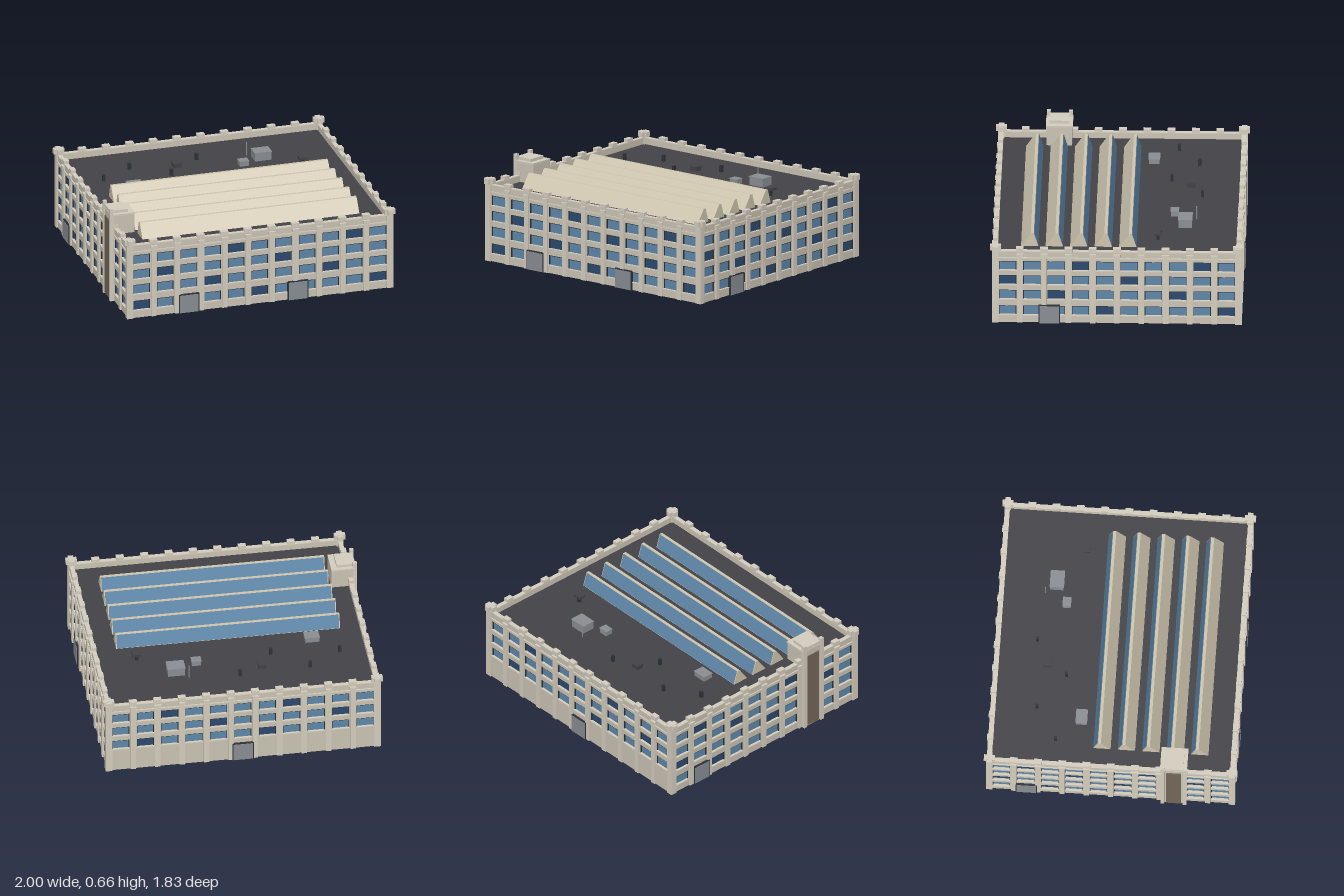
import * as THREE from 'three';

const HW = 0.903, HD = 0.808;      // half width and half depth to the wall centre lines
const ROOF = 0.48, PARAPET = 0.525;
const ROWS = [0.055, 0.17, 0.278, 0.384], WIN_H = 0.068, WIN_W = 0.116;

const mat = (color) => new THREE.MeshStandardMaterial({ color });
const M = {
  wall: mat(0xcdc5b6), pier: mat(0xd6cfc0), glass: mat(0x5f88ab), darkGlass: mat(0x2c4a70),
  frame: mat(0x2e3338), door: mat(0x8a8f95), roof: mat(0x434348), metal: mat(0x8b9094),
  brick: mat(0x75675a), cream: mat(0xd0c7b0), base: mat(0x2a2a2c),
};

function add(parent, name, geometry, material, x = 0, y = 0, z = 0) {
  const mesh = new THREE.Mesh(geometry, material);
  mesh.name = name;
  mesh.position.set(x, y, z);
  parent.add(mesh);
  return mesh;
}

// Box given by its size, centre in x and z, and bottom height
const box = (parent, name, material, w, h, d, x, y, z) =>
  add(parent, name, new THREE.BoxGeometry(w, h, d), material, x, y + h / 2, z);

function rectHole(x, y, w, h) {
  const p = new THREE.Path();
  p.moveTo(x - w / 2, y);
  p.lineTo(x - w / 2, y + h);
  p.lineTo(x + w / 2, y + h);
  p.lineTo(x + w / 2, y);
  p.closePath();
  return p;
}

// One facade: x runs along the wall, z points outward
function facade({ name, half, bays, shift, doors, firstRow = 0 }) {
  const g = new THREE.Group();
  g.name = name;
  const pitch = (2 * half) / bays;
  const shape = new THREE.Shape();
  shape.moveTo(-half, 0);
  shape.lineTo(half, 0);
  shape.lineTo(half, PARAPET);
  shape.lineTo(-half, PARAPET);
  shape.closePath();

  for (let c = 0; c < bays; c++) {
    const x = -half + pitch * (c + 0.5);
    for (let r = firstRow; r < ROWS.length; r++) {
      const y = ROWS[r];
      shape.holes.push(rectHole(x, y, WIN_W, WIN_H));
      // pane, dark surround and sill
      const dark = (c + 2 * r + shift) % 5 === 0;
      box(g, 'windowPane', dark ? M.darkGlass : M.glass, WIN_W, WIN_H, 0.004, x, y, -0.003);
      box(g, 'windowHead', M.frame, WIN_W, 0.005, 0.012, x, y + WIN_H - 0.005, 0.003);
      for (const s of [-1, 1])
        box(g, 'windowJamb', M.frame, 0.004, WIN_H, 0.01, x + s * (WIN_W / 2 - 0.002), y, 0.003);
      box(g, 'windowSill', M.pier, WIN_W + 0.008, 0.007, 0.014, x, y - 0.006, 0.01);
    }
  }
  const wall = new THREE.ExtrudeGeometry(shape, { depth: 0.024, bevelEnabled: false });
  add(g, 'wall', wall, M.wall, 0, 0, -0.012);

  // piers with capitals and the raised blocks of the parapet
  for (let i = 1; i < bays; i++) {
    const x = -half + pitch * i;
    box(g, 'pier', M.pier, 0.036, 0.505, 0.012, x, 0, 0.016);
    box(g, 'pierCapital', M.pier, 0.044, 0.018, 0.018, x, 0.49, 0.018);
    box(g, 'parapetBlock', M.pier, 0.052, 0.028, 0.036, x, 0.52, 0.002);
  }
  box(g, 'cornice', M.pier, 2 * half, 0.008, 0.01, 0, 0.472, 0.015);
  box(g, 'coping', M.pier, 2 * half, 0.006, 0.03, 0, 0.52, 0);

  for (const x of doors) {
    box(g, 'doorFrame', M.frame, 0.142, 0.132, 0.018, x, 0, 0.016);
    box(g, 'door', M.door, 0.13, 0.125, 0.022, x, 0, 0.017);
  }
  return g;
}

// Sawtooth roof light: glazed steep back, flat ridge, solid front slope
function sawtooth() {
  const g = new THREE.Group();
  g.name = 'roofLight';
  const L = 1.507, H = 0.095;
  const s = new THREE.Shape([[0.0575, 0], [0.0275, H], [0.0075, H], [-0.0575, 0]]
    .map(([x, y]) => new THREE.Vector2(x, y)).reverse());
  const geo = new THREE.ExtrudeGeometry(s, { depth: L, bevelEnabled: false });
  geo.translate(0, 0, -L / 2).rotateY(Math.PI / 2);
  add(g, 'roofLightBody', geo, M.cream);
  const pane = add(g, 'roofLightGlass', new THREE.BoxGeometry(L - 0.012, 0.094, 0.004), M.glass, 0, H / 2, -0.0425);
  pane.rotation.x = Math.atan2(0.03, H);
  return g;
}

export function createModel() {
  const model = new THREE.Group();
  model.name = 'factory';
  const building = new THREE.Group();
  building.name = 'building';
  building.rotation.y = 0.0765;
  model.add(building);

  // solid core whose top is the roof deck
  box(building, 'roofDeck', M.roof, 2 * HW - 0.022, ROOF - 0.004, 2 * HD - 0.022, 0, 0.004, 0);
  box(building, 'basePlate', M.base, 2 * HW, 0.004, 2 * HD, 0, 0, 0);

  // four facades
  const sides = [
    { name: 'frontFacade', half: HW, out: HD, bays: 11, shift: 0, doors: [-0.496, 0.262] },
    { name: 'rightFacade', half: HD, out: HW, bays: 10, shift: 1, doors: [-0.45] },
    { name: 'backFacade', half: HW, out: HD, bays: 11, shift: 2, doors: [0], firstRow: 1 },
    { name: 'leftFacade', half: HD, out: HW, bays: 10, shift: 3, doors: [-0.56] },
  ];
  sides.forEach((side, i) => {
    const f = facade(side);
    const a = (i * Math.PI) / 2;
    f.rotation.y = a;
    f.position.set(Math.sin(a) * side.out, 0, Math.cos(a) * side.out);
    building.add(f);
  });

  // corner piers with cross-shaped caps
  for (const sx of [-1, 1]) for (const sz of [-1, 1]) {
    const x = sx * HW, z = sz * HD;
    box(building, 'cornerPier', M.pier, 0.044, 0.53, 0.044, x, 0, z);
    box(building, 'cornerCapAcross', M.pier, 0.074, 0.035, 0.036, x, 0.529, z);
    box(building, 'cornerCapAlong', M.pier, 0.036, 0.035, 0.074, x, 0.529, z);
    box(building, 'cornerCapTop', M.pier, 0.04, 0.01, 0.04, x, 0.556, z);
  }

  // row of roof lights
  for (let i = 0; i < 5; i++) {
    const t = sawtooth();
    t.position.set(-0.008, ROOF, -0.068 + 0.163 * i);
    building.add(t);
  }

  // stair tower on the left wall
  const tower = new THREE.Group();
  tower.name = 'stairTower';
  tower.position.set(-0.861, 0, 0.42);
  building.add(tower);
  box(tower, 'towerBody', M.wall, 0.16, 0.615, 0.17, 0.005, 0, 0);
  box(tower, 'towerCoping', M.pier, 0.166, 0.012, 0.18, 0.003, 0.612, 0);
  box(tower, 'towerTop', M.pier, 0.125, 0.022, 0.13, -0.015, 0.622, 0);
  box(tower, 'towerPanel', M.brick, 0.01, 0.56, 0.1, -0.077, 0.01, 0);
  for (const s of [-1, 1])
    box(tower, 'towerPost', M.pier, 0.026, 0.663, 0.026, -0.073, 0, s * 0.074);

  // rooftop equipment: [name, material, x, z, width, depth, height]
  const equipment = new THREE.Group();
  equipment.name = 'rooftopEquipment';
  building.add(equipment);
  const units = [
    ['largeAirUnit', M.metal, 0.395, -0.444, 0.115, 0.09, 0.058],
    ['smallAirUnit', M.metal, 0.246, -0.370, 0.062, 0.052, 0.035],
    ['sideAirUnit', M.metal, -0.555, -0.217, 0.095, 0.072, 0.035],
    ['roofHatch', M.roof, -0.184, -0.472, 0.055, 0.052, 0.03],
  ];
  for (const [name, m, x, z, w, d, h] of units) {
    box(equipment, name, m, w, h, d, x, ROOF, z);
    box(equipment, name + 'Lid', m, w + 0.006, 0.005, d + 0.006, x, ROOF + h - 0.003, z);
  }
  for (const [x, z] of [[-0.498, -0.519], [-0.025, -0.547], [-0.719, -0.380], [-0.261, -0.339]])
    box(equipment, 'ventPipe', M.frame, 0.02, 0.045, 0.02, x, ROOF, z);
  box(equipment, 'hoodPost', M.frame, 0.02, 0.045, 0.02, 0.629, ROOF, -0.266);
  box(equipment, 'ventHood', M.roof, 0.06, 0.016, 0.05, 0.629, ROOF + 0.04, -0.266);
  add(equipment, 'mast', new THREE.CylinderGeometry(0.004, 0.004, 0.095, 8), M.metal, 0.315, ROOF + 0.0475, -0.517);

  return model;
}
